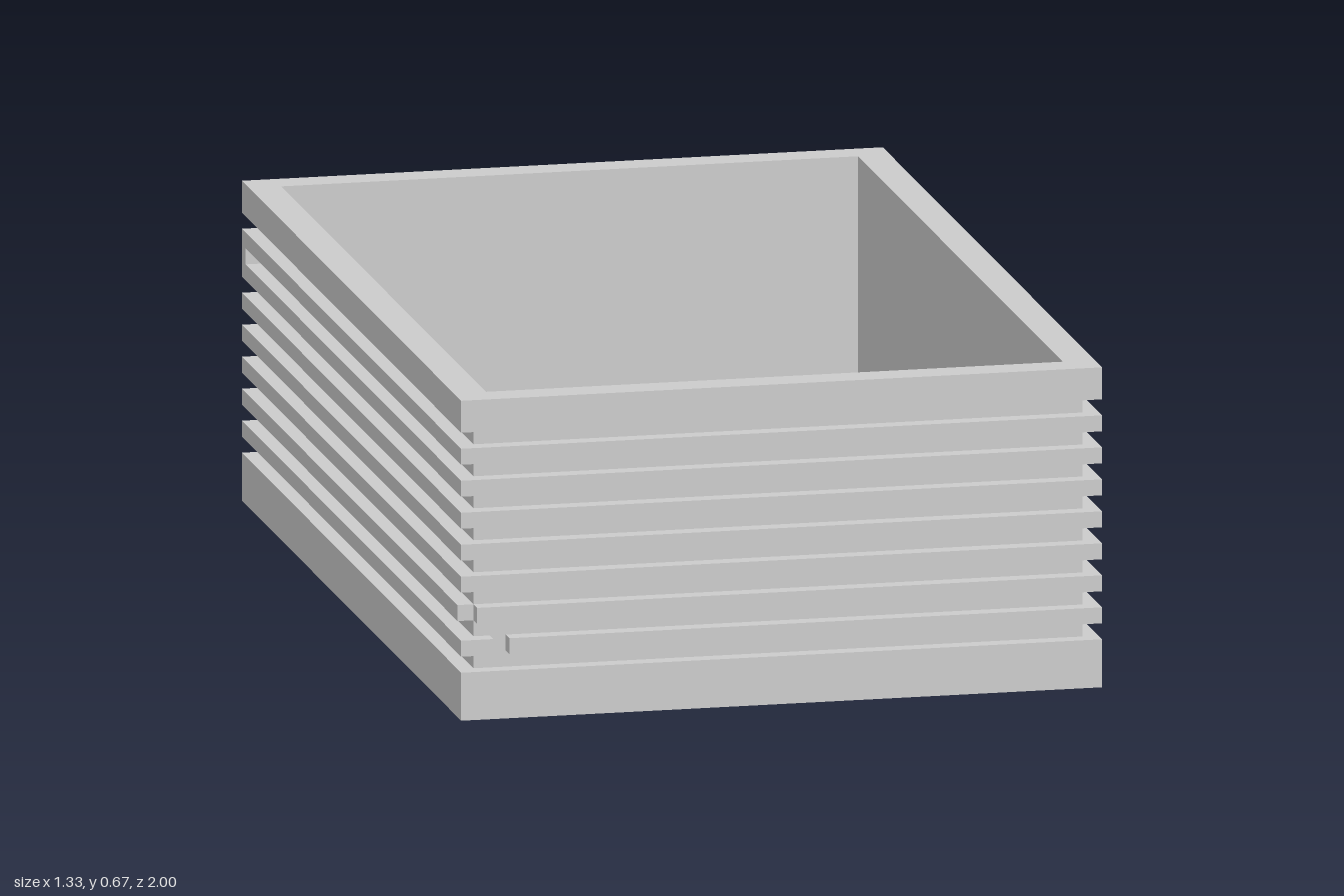
import * as THREE from 'three';

const U = 1 / 30; // every size is a whole number of these units
const material = new THREE.MeshStandardMaterial({ color: 0xcccccc });

// Horizontal slab from a plan outline of [x, z] points, between heights y0 and y1
function slab(name, outline, y0, y1, hole) {
  const toPlan = (pts) => pts.map(([x, z]) => new THREE.Vector2(x * U, -z * U));
  const shape = new THREE.Shape(toPlan(outline));
  // the hole runs opposite to the outline so its walls face inwards
  if (hole) shape.holes.push(new THREE.Path(toPlan(hole).reverse()));
  const geometry = new THREE.ExtrudeGeometry(shape, { depth: (y1 - y0) * U, bevelEnabled: false });
  geometry.rotateX(-Math.PI / 2).translate(0, y0 * U, 0);
  const mesh = new THREE.Mesh(geometry, material);
  mesh.name = name;
  return mesh;
}

const rect = (x0, x1, z0, z1) => [[x0, z0], [x1, z0], [x1, z1], [x0, z1]];

export function createModel() {
  const model = new THREE.Group();
  model.name = 'groovedBox';

  const outer = rect(-20, 20, -30, 30);
  const cavity = rect(-18, 18, -28, 28);

  // Box body: floor, base, recessed wall behind the slats, and top rim
  model.add(
    slab('floor', outer, 0, 1),
    slab('base', outer, 1, 3, cavity),
    slab('wall', rect(-19, 19, -30, 29), 3, 18, cavity),
    slab('rim', outer, 18, 20, cavity)
  );

  // Seven slats wrapping both sides and the front; the back stays flat
  const slats = new THREE.Group();
  slats.name = 'slats';
  const leftHalf = [[20, 30], [20, -30], [19, -30], [19, 29]];
  for (let i = 0; i < 7; i++) {
    const y = 4 + 2 * i;
    const add = (outline) => slats.add(slab('slat', outline, y, y + 1));
    if (i === 0) {
      // lowest slat, with a gap near the front corner
      add([[-17, 30], ...leftHalf, [-17, 29]]);
      add([[-20, 30], [-18, 30], [-18, 29], [-19, 29], [-19, -30], [-20, -30]]);
    } else if (i === 1) {
      // second slat, with its front corner cut away
      add([[-19, 30], ...leftHalf, [-19, 29]]);
      add(rect(-20, -19, -30, 29));
    } else {
      add([[-20, 30], ...leftHalf, [-19, 29], [-19, -30], [-20, -30]]);
    }
  }
  model.add(slats);

  // Block closing one groove at the back end
  model.add(slab('grooveStop', rect(-20, -19, -30, -29), 15, 16));

  return model;
}
